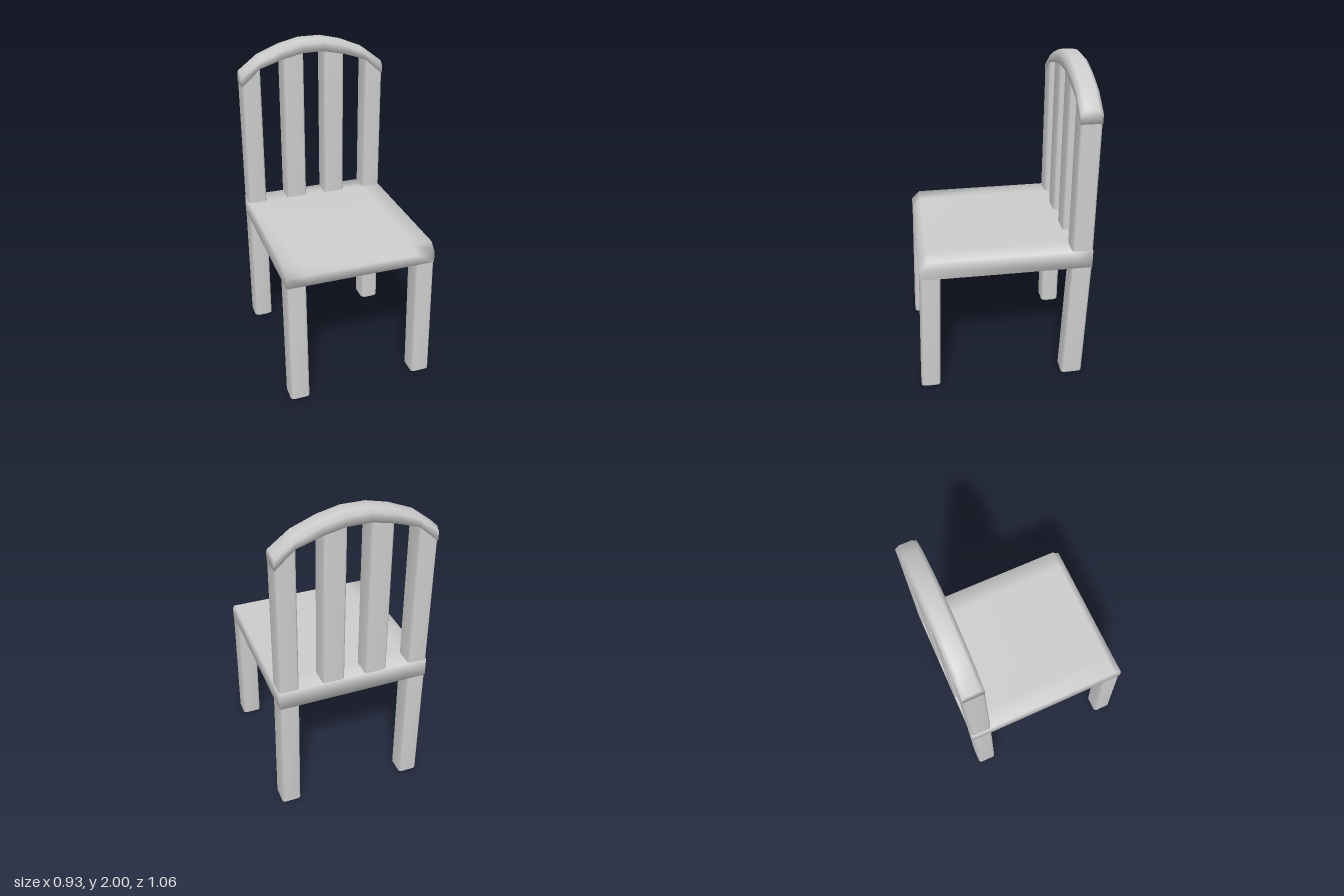
import * as THREE from 'three';

const material = new THREE.MeshStandardMaterial({ color: 0xcccccc, side: THREE.DoubleSide });

// Smooth skin through matching loops, counter-clockwise about the direction of travel
function loft(name, loops, capStart = true, capEnd = true) {
  const n = loops[0].length, last = (loops.length - 1) * n, index = [];
  for (let s = 0; s < loops.length - 1; s++) {
    for (let i = 0; i < n; i++) {
      const a = s * n + i, b = s * n + (i + 1) % n;
      index.push(a, b, b + n, a, b + n, a + n);
    }
  }
  for (let i = 1; i < n - 1; i++) {
    if (capStart) index.push(0, i + 1, i);
    if (capEnd) index.push(last, last + i, last + i + 1);
  }
  const geometry = new THREE.BufferGeometry();
  geometry.setAttribute('position', new THREE.Float32BufferAttribute(loops.flat(2), 3));
  geometry.setIndex(index);
  geometry.computeVertexNormals();
  const mesh = new THREE.Mesh(geometry, material);
  mesh.name = name;
  return mesh;
}

// Rectangle with slightly bevelled corners; its height may vary with x
function bar(x0, x1, z0, z1, height, c = 0.012) {
  return [
    [x1 - c, z1], [x1, z1 - c], [x1, z0 + c], [x1 - c, z0],
    [x0 + c, z0], [x0, z0 + c], [x0, z1 - c], [x0 + c, z1],
  ].map(([x, z]) => [x, typeof height === 'function' ? height(x) : height, z]);
}

const W = 0.465, INNER = 0.345, BACK = -0.53, BACK_FRONT = -0.403;
const SEAT_LOW = 0.82, SEAT_TOP = 0.938;

// Half of the arch: x, underside height, top height
const ARCH = [[W, 1.74, 1.82], [INNER, 1.845, 1.912], [0.2, 1.892, 1.97], [0.07, 1.92, 2]];

function archUnderside(x) {
  const ax = Math.abs(x);
  for (let i = 0; i < ARCH.length - 1; i++) {
    const [xa, ya] = ARCH[i], [xb, yb] = ARCH[i + 1];
    if (ax >= xb) return yb + (ya - yb) * (ax - xb) / (xa - xb);
  }
  return ARCH[3][1];
}

// Leg with a bevelled foot
function leg(name, side, foot, top) {
  const x0 = side > 0 ? INNER : -W, x1 = side > 0 ? W : -INNER, b = 0.022;
  return loft(name, [
    bar(x0 + b, x1 - b, foot[0] + b, foot[1] - b, 0),
    bar(x0, x1, foot[0], foot[1], b),
    bar(x0, x1, top[0], top[1], SEAT_LOW),
  ], true, false);
}

function upright(name, x0, x1) {
  return loft(name, [
    bar(x0, x1, BACK, BACK_FRONT, SEAT_TOP),
    bar(x0, x1, BACK, BACK_FRONT, archUnderside),
  ], false, false);
}

export function createModel() {
  const chair = new THREE.Group();
  chair.name = 'chair';

  // Seat slab with a bevelled front edge
  const profile = [[BACK, SEAT_LOW], [BACK, SEAT_TOP], [BACK_FRONT, SEAT_TOP], [0.455, SEAT_TOP],
    [0.505, 0.888], [0.505, SEAT_LOW], [0.38, SEAT_LOW]];
  chair.add(loft('seat', [-W, -INNER, INNER, W].map((x) => profile.map(([z, y]) => [x, y, z]))));

  // Legs: the front pair and the left back leg lean forward, the right back leg is upright
  for (const side of [1, -1]) {
    const label = side > 0 ? 'left' : 'right';
    chair.add(leg(label + 'FrontLeg', side, [0.41, 0.53], [0.383, 0.505]));
    chair.add(leg(label + 'BackLeg', side, side > 0 ? [-0.375, -0.508].reverse() : [-0.53, -0.41], [BACK, BACK_FRONT]));

    // Back post and slat
    const span = (a, b) => (side > 0 ? [a, b] : [-b, -a]);
    chair.add(upright(label + 'BackPost', ...span(INNER, W)));
    chair.add(upright(label + 'Slat', ...span(0.065, 0.2)));
  }

  // Arched top rail
  const half = ARCH.map(([x, low, top]) => [-x, low, top]);
  const stations = [...half, ...[...ARCH].reverse()];
  const c = 0.025;
  chair.add(loft('topRail', stations.map(([x, low, top]) => [
    [x, low, BACK], [x, top - c, BACK], [x, top, BACK + c],
    [x, top, BACK_FRONT - c], [x, top - c, BACK_FRONT], [x, low, BACK_FRONT],
  ])));

  return chair;
}
